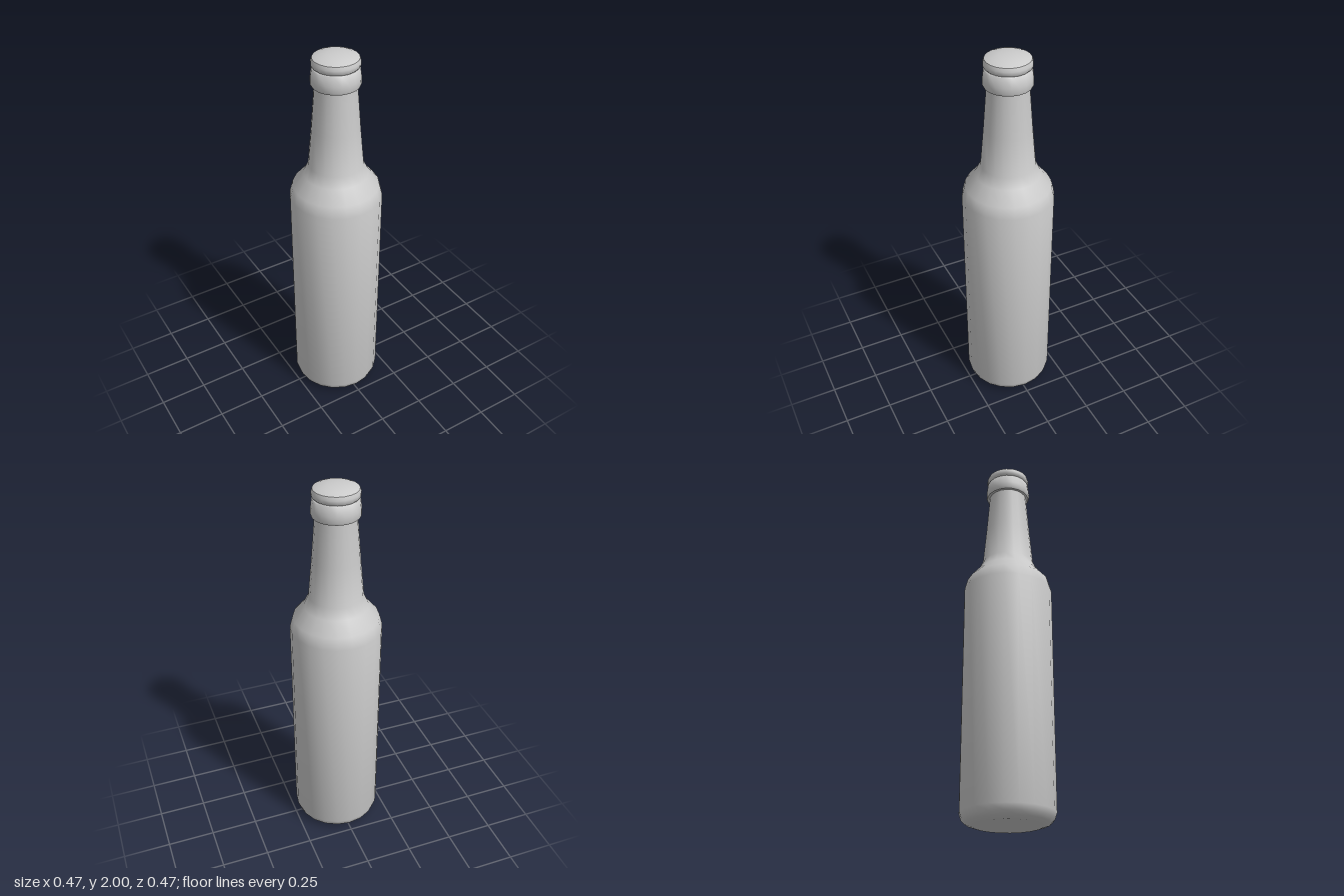
import * as THREE from 'three';
import { toCreasedNormals } from 'three/addons/utils/BufferGeometryUtils.js';

const SIDES = 20;

// Turn a [radius, height] profile around the y axis, keeping hard rims sharp
function turned(name, profile) {
  const points = profile.map(([r, y]) => new THREE.Vector2(r, y));
  const geometry = toCreasedNormals(new THREE.LatheGeometry(points, SIDES), 0.8);
  const mesh = new THREE.Mesh(geometry, new THREE.MeshStandardMaterial({ color: 0xcccccc }));
  mesh.name = name;
  return mesh;
}

export function createModel() {
  const bottle = new THREE.Group();
  bottle.name = 'bottle';

  // Base, straight body, shoulder and tapering neck
  bottle.add(turned('bottleBody', [
    [0, 0], [0.17, 0], [0.207, 0.012], [0.225, 0.03], [0.235, 0.06],
    [0.235, 1.24], [0.219, 1.3], [0.163, 1.365], [0.138, 1.42],
    [0.12, 1.62], [0.102, 1.85], [0.102, 1.94],
  ]));

  // Raised collar under the mouth
  bottle.add(turned('neckCollar', [
    [0.1, 1.845], [0.116, 1.845], [0.121, 1.856], [0.12, 1.885],
    [0.114, 1.932], [0.109, 1.937], [0.1, 1.937],
  ]));

  // Rounded cap closing the top
  bottle.add(turned('cap', [
    [0, 1.937], [0.109, 1.937], [0.116, 1.945], [0.117, 1.963],
    [0.111, 1.98], [0.085, 1.991], [0.045, 1.998], [0, 2],
  ]));

  return bottle;
}
